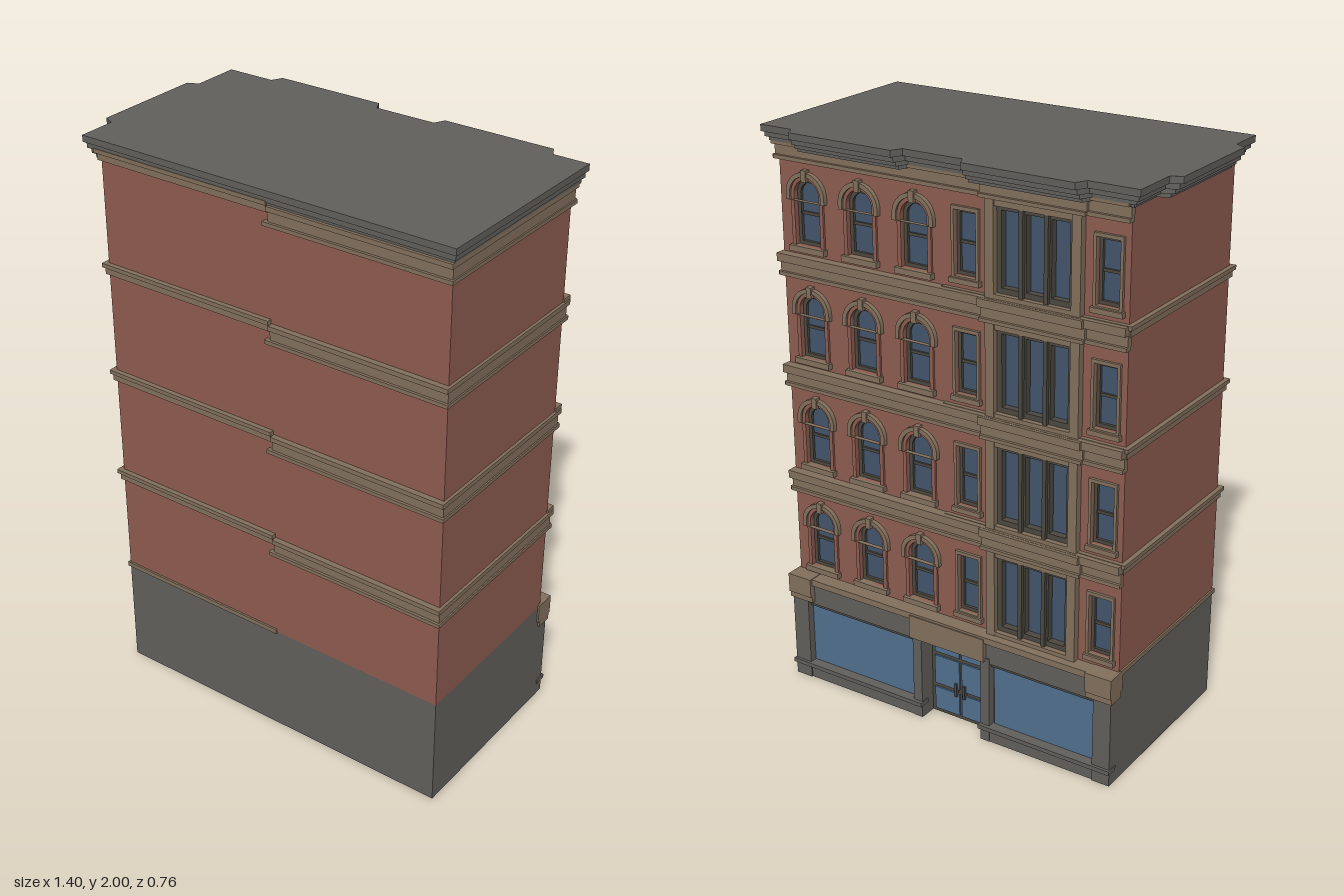
import * as THREE from 'three';

const mat = (name, color) => {
  const m = new THREE.MeshStandardMaterial({ color });
  m.name = name;
  return m;
};

export function createModel() {
  const brick = mat('brick', 0x8f5d50), grey = mat('grey stone', 0x62605c), tan = mat('tan stone', 0x83705c);
  const dark = mat('dark frame', 0x4c4841), pane = mat('window glass', 0x42566c), shop = mat('shop glass', 0x52708f);
  const model = new THREE.Group();
  model.name = 'cornerBuilding';

  const add = (name, geo, m, parent = model) => {
    const mesh = new THREE.Mesh(geo, m);
    mesh.name = name;
    parent.add(mesh);
    return mesh;
  };
  // box given by its extents
  const box = (name, m, x0, x1, y0, y1, z0, z1, parent) => {
    const g = new THREE.BoxGeometry(x1 - x0, y1 - y0, z1 - z0);
    g.translate((x0 + x1) / 2, (y0 + y1) / 2, (z0 + z1) / 2);
    return add(name, g, m, parent);
  };
  const rect = (P, x0, x1, y0, y1) => {
    const p = new P();
    p.moveTo(x0, y0); p.lineTo(x1, y0); p.lineTo(x1, y1); p.lineTo(x0, y1); p.closePath();
    return p;
  };
  const arch = (P, cx, r, y0, spring) => {
    const p = new P();
    p.moveTo(cx - r, y0); p.lineTo(cx + r, y0); p.lineTo(cx + r, spring);
    p.absarc(cx, spring, r, 0, Math.PI, false);
    p.closePath();
    return p;
  };
  // extrudes a shape from z0 to z1, with optional holes
  const slab = (name, m, shape, z0, z1, holes = [], parent) => {
    shape.holes.push(...holes);
    const g = new THREE.ExtrudeGeometry(shape, { depth: z1 - z0, bevelEnabled: false, curveSegments: 12 });
    g.translate(0, 0, z0);
    return add(name, g, m, parent);
  };

  const X0 = -0.61, X1 = 0.68, ZF = 0.36, ZC = -0.26, ZB = -0.285, PITCH = 0.39, BASE = 0.395;
  const arches = [0.57, 0.36, 0.15], smalls = [-0.04, -0.54], bayX = -0.29;
  const floors = [0, 1, 2, 3].map((k) => BASE + k * PITCH);

  // main masses and the pierced street wall
  box('groundFloorCore', grey, X0, X1, 0, BASE, ZC, ZF);
  box('brickCore', brick, X0, X1, BASE, 1.94, ZC, ZF);
  const holes = [];
  for (const b of floors) {
    arches.forEach((x) => holes.push(arch(THREE.Path, x, 0.05, b + 0.04, b + 0.21)));
    smalls.forEach((x) => holes.push(rect(THREE.Path, x - 0.04, x + 0.04, b + 0.05, b + 0.26)));
    holes.push(rect(THREE.Path, bayX - 0.14, bayX + 0.14, b + 0.015, b + 0.3));
  }
  slab('streetWall', brick, rect(THREE.Shape, X0, X1, BASE, 1.94), ZB, ZC, holes);

  // windows of every storey
  for (const b of floors) {
    const storey = new THREE.Group();
    storey.name = 'storeyWindows';
    model.add(storey);
    for (const x of arches) {
      slab('archedGlass', pane, arch(THREE.Shape, x, 0.05, b + 0.04, b + 0.21), -0.265, -0.259, [], storey);
      slab('archedFrame', dark, arch(THREE.Shape, x, 0.05, b + 0.04, b + 0.21), -0.275, -0.262,
        [arch(THREE.Path, x, 0.037, b + 0.052, b + 0.21)], storey);
      box('meetingRail', dark, x - 0.04, x + 0.04, b + 0.14, b + 0.15, -0.272, -0.262, storey);
      slab('brickSurround', brick, arch(THREE.Shape, x, 0.064, b + 0.03, b + 0.21), -0.293, -0.284,
        [arch(THREE.Path, x, 0.05, b + 0.04, b + 0.21)], storey);
      slab('archHood', tan, arch(THREE.Shape, x, 0.077, b + 0.19, b + 0.21), -0.301, -0.284,
        [arch(THREE.Path, x, 0.062, b + 0.191, b + 0.21)], storey);
      box('keystone', tan, x - 0.01, x + 0.01, b + 0.257, b + 0.295, -0.306, -0.284, storey);
      box('archedSill', tan, x - 0.07, x + 0.07, b + 0.02, b + 0.04, -0.305, -0.27, storey);
    }
    for (const x of smalls) {
      box('smallGlass', pane, x - 0.04, x + 0.04, b + 0.05, b + 0.26, -0.265, -0.259, storey);
      slab('smallFrame', dark, rect(THREE.Shape, x - 0.04, x + 0.04, b + 0.05, b + 0.26), -0.275, -0.262,
        [rect(THREE.Path, x - 0.029, x + 0.029, b + 0.062, b + 0.249)], storey);
      box('smallRail', dark, x - 0.03, x + 0.03, b + 0.15, b + 0.16, -0.272, -0.262, storey);
      slab('smallSurround', tan, rect(THREE.Shape, x - 0.05, x + 0.05, b + 0.04, b + 0.272), -0.295, -0.284,
        [rect(THREE.Path, x - 0.04, x + 0.04, b + 0.05, b + 0.26)], storey);
      box('smallSill', tan, x - 0.056, x + 0.056, b + 0.028, b + 0.045, -0.303, -0.284, storey);
    }
    // three-light bay between stone pilasters
    box('bayGlass', pane, bayX - 0.14, bayX + 0.14, b + 0.015, b + 0.3, -0.265, -0.259, storey);
    const lights = [-1, 0, 1].map((i) =>
      rect(THREE.Path, bayX + i * 0.088 - 0.031, bayX + i * 0.088 + 0.031, b + 0.04, b + 0.283));
    slab('bayFrame', dark, rect(THREE.Shape, bayX - 0.14, bayX + 0.14, b + 0.015, b + 0.3), -0.29, -0.262, lights, storey);
    for (const s of [-1, 1]) {
      const c = bayX + s * 0.152, m = bayX + s * 0.044;
      box('bayPilaster', tan, c - 0.016, c + 0.016, b, b + 0.325, -0.31, -0.284, storey);
      box('bayMullion', dark, m - 0.007, m + 0.007, b + 0.015, b + 0.3, -0.302, -0.284, storey);
    }
    box('bayHeader', tan, bayX - 0.14, bayX + 0.14, b + 0.297, b + 0.325, -0.305, -0.284, storey);
    box('baySill', tan, bayX - 0.14, bayX + 0.14, b, b + 0.022, -0.308, -0.284, storey);
  }

  // string courses: plain on the left half, triple on the right half, broken forward at the bay
  for (const b of floors) {
    const y = b + 0.32, top = y + 0.08;
    box('leftCourse', tan, X0 - 0.008, 0.045, y + 0.042, y + 0.068, -0.29, 0.37);
    box('leftCourseCap', tan, X0 - 0.016, 0.045, y + 0.066, top, -0.3, 0.377);
    box('rightCourseFoot', tan, 0.03, X1 + 0.01, y, y + 0.013, -0.305, 0.377);
    box('rightCourse', tan, 0.045, X1 + 0.005, y + 0.012, y + 0.052, -0.295, 0.368);
    box('rightCourseCap', tan, 0.047, X1 + 0.01, y + 0.05, y + 0.066, -0.31, 0.38);
    const steps = [[0, 0.013, 0.309], [0.012, 0.052, 0.299], [0.05, 0.078, 0.318]];
    for (const [lo, hi, z] of steps) {
      box('streetCourse', tan, X0 - 0.005, X1 + 0.005, y + lo, y + hi, -z, -0.28);
      box('bayCourse', tan, bayX - 0.185, bayX + 0.185, y + lo, y + hi - 0.001, -z - 0.011, -0.28);
    }
  }
  box('baseLedge', tan, X0 - 0.006, 0.045, BASE - 0.004, BASE + 0.012, -0.28, 0.367);

  // roof cornice: stepped layers following the projections of the plan
  const cornice = (y0, y1, o, f) => {
    const l = X0 - o, r = X1 + f, bk = ZB - o - 0.004, fr = ZF + f, d = 0.037;
    const pts = [[l, fr], [r, fr], [r, bk], [0.575, bk], [0.556, bk - d], [0.165, bk - d], [0.147, bk],
      [-0.07, bk], [-0.087, bk - d], [-0.477, bk - d], [-0.496, bk], [l, bk],
      [l, -0.177], [l - d, -0.16], [l - d, 0.23], [l, 0.248]];
    const shape = new THREE.Shape(pts.map(([x, z]) => new THREE.Vector2(x, -z)));
    const g = new THREE.ExtrudeGeometry(shape, { depth: y1 - y0, bevelEnabled: false });
    g.rotateX(-Math.PI / 2);
    g.translate(0, y0, 0);
    add('roofCornice', g, grey);
  };
  cornice(1.978, 2, 0.056, 0.02);
  cornice(1.96, 1.978, 0.044, 0.015);
  cornice(1.945, 1.96, 0.03, 0.01);
  cornice(1.932, 1.945, 0.016, 0.006);

  // shopfront: two display windows either side of a recessed door
  for (const [x0, x1] of [[X0, -0.11], [0.13, X1]]) {
    box('displayBody', grey, x0, x1, 0, BASE, -0.3, ZC);
    box('displayGlass', shop, x0 + 0.05, x1 - 0.04, 0.06, 0.3, -0.306, -0.299);
    box('displayBase', grey, x0, x1, 0, 0.055, -0.328, -0.299);
    box('displayLedge', grey, x0 - 0.004, x1 + 0.004, 0.047, 0.062, -0.343, -0.299);
    box('displayTransom', dark, x0 + 0.04, x1 - 0.03, 0.288, 0.3, -0.318, -0.299);
    const outer = x0 < 0;
    box('cornerPier', grey, outer ? x0 : x1 - 0.065, outer ? x0 + 0.065 : x1, 0, 0.32, -0.333, -0.26);
    box('doorPier', grey, outer ? x1 - 0.035 : x0, outer ? x1 : x0 + 0.035, 0, 0.32, -0.33, -0.26);
  }
  box('shopHeader', grey, X0, X1, 0.3, 0.385, -0.325, ZC);
  box('shopCornice', tan, X0, X1, 0.38, 0.403, -0.338, -0.27);
  box('doorLintel', tan, -0.13, 0.17, 0.31, 0.395, -0.342, -0.3);
  for (const [x0, x1] of [[X0 - 0.006, X0 + 0.09], [X1 - 0.09, X1 + 0.006]]) {
    box('cornerBlock', tan, x0, x1, 0.335, 0.405, -0.347, -0.27);
    box('cornerBlockFoot', tan, x0, x1, 0.312, 0.336, -0.34, -0.28);
  }

  // double door with a transom light
  box('doorFrame', dark, -0.11, 0.13, 0, 0.3, -0.266, -0.259);
  for (const x of [-0.095, 0.015]) {
    box('doorGlassLower', shop, x, x + 0.1, 0.015, 0.1, -0.272, -0.265);
    box('doorGlassUpper', shop, x, x + 0.1, 0.115, 0.225, -0.272, -0.265);
    box('doorTransomGlass', shop, x, x + 0.1, 0.24, 0.292, -0.272, -0.265);
    box('doorHandle', dark, x < 0 ? -0.012 : 0.022, x < 0 ? -0.002 : 0.032, 0.09, 0.14, -0.28, -0.265);
  }
  return model;
}
